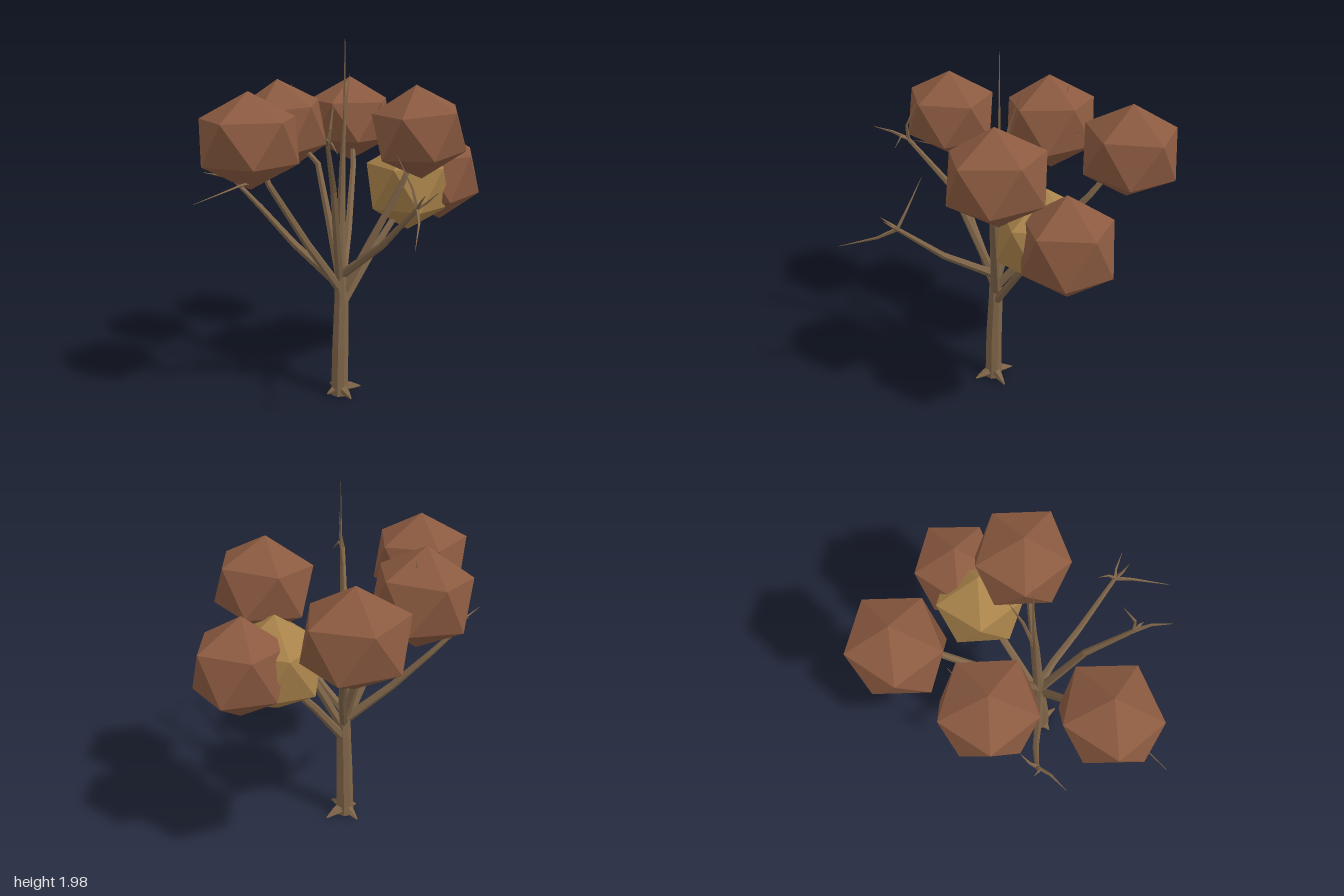
import * as THREE from 'three';
import { ConvexGeometry } from 'three/addons/geometries/ConvexGeometry.js';

const material = (color) => new THREE.MeshStandardMaterial({ color, flatShading: true, roughness: 1, side: THREE.DoubleSide });
const wood = material(0x7f6549);
const rust = material(0x8b5a40);
const gold = material(0xa8824a);

// Tapered faceted limb through points [x, y, z, radius]; both ends are capped
function limb(name, points, sides = 6) {
  const centres = points.map((p) => new THREE.Vector3(p[0], p[1], p[2]));
  const up = new THREE.Vector3(0, 1, 0);
  const pos = [], index = [];
  centres.forEach((c, i) => {
    const ahead = centres[Math.min(i + 1, centres.length - 1)];
    const behind = centres[Math.max(i - 1, 0)];
    const turn = new THREE.Quaternion().setFromUnitVectors(up, ahead.clone().sub(behind).normalize());
    for (let s = 0; s < sides; s++) {
      const a = (s / sides) * Math.PI * 2;
      const v = new THREE.Vector3(Math.cos(a), 0, -Math.sin(a)).multiplyScalar(points[i][3]);
      pos.push(...v.applyQuaternion(turn).add(c).toArray());
      if (i === 0) continue;
      const n = (s + 1) % sides, lo = (i - 1) * sides, hi = i * sides;
      index.push(lo + s, lo + n, hi + n, lo + s, hi + n, hi + s);
    }
  });
  const last = (centres.length - 1) * sides;
  for (let s = 1; s < sides - 1; s++) {
    index.push(0, s + 1, s, last, last + s, last + s + 1);
  }
  const geo = new THREE.BufferGeometry();
  geo.setAttribute('position', new THREE.Float32BufferAttribute(pos, 3));
  geo.setIndex(index);
  geo.computeVertexNormals();
  const mesh = new THREE.Mesh(geo, wood);
  mesh.name = name;
  return mesh;
}

// Icosahedron standing on a corner, with an upper ring corner towards +x
function clumpGeometry() {
  const pts = [new THREE.Vector3(0, 1, 0), new THREE.Vector3(0, -1, 0)];
  for (let i = 0; i < 10; i++) {
    const a = (i * Math.PI) / 5;
    pts.push(new THREE.Vector3(0.8944 * Math.cos(a), i % 2 ? -0.4472 : 0.4472, 0.8944 * Math.sin(a)));
  }
  return new ConvexGeometry(pts);
}

export function createModel() {
  const tree = new THREE.Group();
  tree.name = 'tree';

  // Trunk running up into a needle-thin leader
  tree.add(limb('trunk', [
    [-0.015, 0, -0.03, 0.05], [-0.01, 0.3, -0.03, 0.046], [0, 0.55, -0.035, 0.04], [-0.005, 0.7, -0.035, 0.033],
    [0, 0.95, -0.04, 0.026], [0.01, 1.3, -0.04, 0.017], [0.022, 1.55, -0.04, 0.007], [0.025, 1.98, -0.038, 0.001],
  ], 8));
  tree.add(limb('leaderTwig', [[0.01, 1.25, -0.04, 0.012], [0.05, 1.58, -0.08, 0.008], [0.1, 1.78, -0.12, 0.001]], 4));

  // Four root spurs
  for (const [x, z] of [[0.12, -0.03], [-0.095, -0.03], [-0.01, 0.09], [-0.01, -0.15]]) {
    tree.add(limb('root', [
      [-0.01, 0.045, -0.03, 0.033], [-0.01 + (x + 0.01) * 0.55, 0.03, -0.03 + (z + 0.03) * 0.55, 0.022], [x, 0.015, z, 0.004],
    ], 5));
  }

  // Main branches
  const branches = {
    leftLowBranch: [[0.005, 0.53, -0.035, 0.026], [0.2, 0.79, -0.05, 0.022], [0.36, 0.98, -0.06, 0.019], [0.64, 1.18, -0.06, 0.01]],
    leftFrontBranch: [[0, 0.58, -0.035, 0.026], [0.14, 0.9, 0.05, 0.022], [0.27, 1.19, 0.13, 0.018], [0.37, 1.46, 0.17, 0.009]],
    leftBackBranch: [[0, 0.62, -0.035, 0.026], [0.14, 0.9, -0.2, 0.022], [0.3, 1.23, -0.42, 0.018], [0.38, 1.47, -0.58, 0.009]],
    backBranch: [[-0.005, 0.65, -0.035, 0.026], [-0.01, 0.95, -0.14, 0.023], [-0.015, 1.28, -0.27, 0.018], [-0.12, 1.47, -0.45, 0.009]],
    rightBranch: [[-0.01, 0.62, -0.035, 0.026], [-0.22, 0.91, -0.01, 0.021], [-0.44, 1.25, 0.01, 0.016], [-0.52, 1.47, -0.03, 0.008]],
    rightBackBranch: [[-0.01, 0.64, -0.035, 0.026], [-0.2, 0.86, -0.2, 0.021], [-0.34, 1.06, -0.33, 0.016], [-0.45, 1.2, -0.41, 0.011]],
    rightFrontBranch: [[-0.01, 0.67, -0.035, 0.026], [-0.09, 0.98, 0.07, 0.021], [-0.15, 1.22, 0.15, 0.018], [-0.28, 1.48, 0.33, 0.011]],
    frontBranch: [[0, 0.7, -0.035, 0.026], [0.03, 0.8, 0.1, 0.022], [0.05, 0.94, 0.3, 0.018], [0.08, 1.18, 0.56, 0.011]],
  };
  for (const [name, points] of Object.entries(branches)) tree.add(limb(name, points));

  // Twigs: start, bend, tip
  const twigs = [
    [[0.08, 1.18, 0.56], [0.03, 1.13, 0.65], [-0.1, 1.06, 0.81]],
    [[0.08, 1.18, 0.56], [0.085, 1.27, 0.51], [0.06, 1.42, 0.41]],
    [[0.08, 1.18, 0.56], [0.11, 1.21, 0.59], [0.14, 1.27, 0.65]],
    [[0.08, 1.18, 0.56], [0.07, 1.22, 0.6], [0.07, 1.26, 0.64]],
    [[-0.28, 1.48, 0.33], [-0.32, 1.52, 0.4], [-0.385, 1.54, 0.475]],
    [[-0.28, 1.48, 0.33], [-0.27, 1.56, 0.34], [-0.22, 1.71, 0.29]],
    [[-0.28, 1.48, 0.33], [-0.28, 1.5, 0.37], [-0.27, 1.45, 0.41]],
    [[-0.45, 1.2, -0.41], [-0.53, 1.24, -0.39], [-0.64, 1.27, -0.385]],
    [[-0.45, 1.2, -0.41], [-0.42, 1.23, -0.43], [-0.36, 1.25, -0.44]],
    [[-0.45, 1.2, -0.41], [-0.48, 1.25, -0.42], [-0.49, 1.28, -0.46]],
    [[-0.46, 1.28, 0], [-0.6, 1.27, 0.03], [-0.86, 1.21, 0.065]],
    [[-0.12, 1.47, -0.45], [-0.08, 1.6, -0.49], [-0.055, 1.7, -0.5]],
    [[-0.12, 1.47, -0.45], [0, 1.48, -0.47], [0.13, 1.5, -0.48]],
  ];
  for (const [start, bend, tip] of twigs) {
    tree.add(limb('twig', [[...start, 0.011], [...bend, 0.007], [...tip, 0.001]], 4));
  }

  // Leaf clumps: centre, half-sizes, lean, colour
  const geo = clumpGeometry();
  const clumps = [
    ['rightLeaves', [-0.525, 1.475, -0.03], [0.285, 0.245, 0.265], 0, rust],
    ['backLeaves', [-0.145, 1.478, -0.45], [0.27, 0.26, 0.274], 0.09, rust],
    ['leftBackLeaves', [0.38, 1.472, -0.595], [0.282, 0.25, 0.265], 0, rust],
    ['leftFrontLeaves', [0.36, 1.48, 0.16], [0.27, 0.25, 0.277], 0.09, rust],
    ['leftLeaves', [0.65, 1.195, -0.06], [0.262, 0.265, 0.25], 0.07, rust],
    ['goldenLeaves', [0.447, 1.155, -0.06], [0.262, 0.26, 0.267], 0, gold],
  ];
  for (const [name, centre, size, lean, mat] of clumps) {
    const clump = new THREE.Mesh(geo, mat);
    clump.name = name;
    clump.position.set(...centre);
    clump.scale.set(...size);
    clump.rotation.z = lean;
    tree.add(clump);
  }
  return tree;
}
